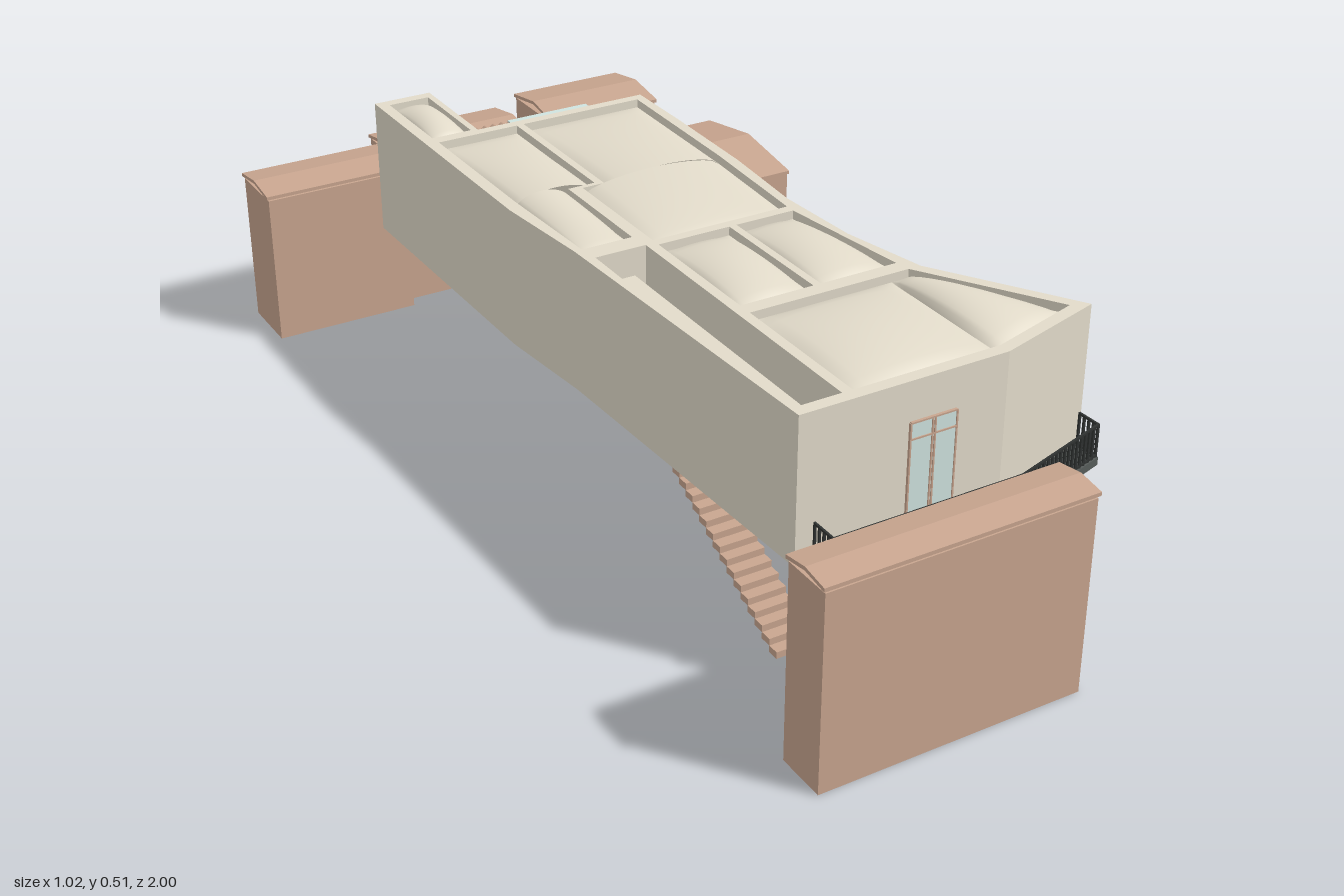
import * as THREE from 'three';

const mat = (name, color, side = THREE.FrontSide) => {
  const m = new THREE.MeshStandardMaterial({ color, side });
  m.name = name;
  return m;
};

export function createModel() {
  const plaster = mat('plaster', 0xe2dbca, THREE.DoubleSide);
  const terracotta = mat('terracotta', 0xc8a58f, THREE.DoubleSide);
  const slabGrey = mat('slabGrey', 0x565b59);
  const railBlack = mat('railBlack', 0x2f3231);
  const glass = mat('glass', 0xcfe3df);
  const model = new THREE.Group();

  const add = (name, geo, material, parent = model) => {
    const mesh = new THREE.Mesh(geo, material);
    mesh.name = name;
    parent.add(mesh);
    return mesh;
  };
  // Box given by its limits on each axis
  const box = (name, x0, x1, y0, y1, z0, z1, material, parent) =>
    add(name, new THREE.BoxGeometry(x1 - x0, y1 - y0, z1 - z0), material, parent)
      .position.set((x0 + x1) / 2, (y0 + y1) / 2, (z0 + z1) / 2);
  // Plan points [x, z] raised into a prism; holes run the opposite way round
  const plan = (pts) => pts.map(([x, z]) => new THREE.Vector2(x, -z));
  const prism = (name, pts, y0, y1, material, holes = []) => {
    const shape = new THREE.Shape(plan(pts));
    holes.forEach((h) => shape.holes.push(new THREE.Path(plan(h).reverse())));
    const geo = new THREE.ExtrudeGeometry(shape, { depth: y1 - y0, bevelEnabled: false });
    geo.rotateX(-Math.PI / 2).translate(0, y0, 0);
    return add(name, geo, material);
  };

  // Raised building: thick walls with rooms cut out
  const outline = [[-0.285, -0.727], [-0.165, -0.727], [-0.165, -0.5], [0.2, -0.5], [0.2, -0.35],
    [0.195, -0.115], [0.18, 0.08], [0.19, 0.26], [0.225, 0.43], [0.384, 0.69], [0.165, 0.752],
    [-0.235, 0.752], [-0.26, 0.08], [-0.28, -0.13]];
  const rooms = [
    [[-0.262, -0.705], [-0.178, -0.705], [-0.178, -0.505], [-0.26, -0.505]],
    [[-0.258, -0.48], [-0.09, -0.48], [-0.09, -0.16], [-0.145, -0.16], [-0.145, 0.08], [-0.245, 0.08], [-0.255, -0.16]],
    [[-0.075, -0.48], [0.182, -0.48], [0.175, -0.15], [0.16, 0.11], [-0.12, 0.11], [-0.12, -0.15], [-0.075, -0.15]],
    [[-0.12, 0.13], [0.025, 0.13], [0.025, 0.4], [-0.12, 0.4]],
    [[0.04, 0.13], [0.16, 0.13], [0.195, 0.4], [0.04, 0.4]],
    [[-0.12, 0.43], [0.2, 0.43], [0.35, 0.675], [0.165, 0.728], [-0.12, 0.728]],
  ];
  const stairwell = [[-0.24, 0.12], [-0.14, 0.12], [-0.14, 0.728], [-0.215, 0.728], [-0.215, 0.215], [-0.24, 0.215]];
  prism('walls', outline, 0.23, 0.505, plaster, [...rooms, stairwell]);
  rooms.forEach((r) => prism('roomFloor', r, 0.232, 0.242, terracotta));

  // Pillow-shaped roof vaults over quads a, b, c, d; v0 and v1 set where the long profile starts and ends
  const vault = (a, b, c, d, v0 = 0, v1 = 1) => {
    const n = 16;
    const geo = new THREE.PlaneGeometry(1, 1, n, n);
    const p = geo.attributes.position;
    const arc = (t) => Math.sqrt(Math.max(0, Math.sin(Math.PI * t)));
    for (let i = 0; i < p.count; i++) {
      const u = p.getX(i) + 0.5, v = 0.5 - p.getY(i);
      const at = (k) => (1 - v) * ((1 - u) * a[k] + u * b[k]) + v * ((1 - u) * d[k] + u * c[k]);
      p.setXYZ(i, at(0), 0.488 + 0.026 * arc(u) * arc(v0 + (v1 - v0) * v), at(1));
    }
    geo.computeVertexNormals();
    add('roofVault', geo, plaster);
  };
  const [rA, rB, rC, rD, rE] = rooms;
  vault(...rA);
  vault(rB[0], rB[1], rB[2], rB[6], 0, 0.5);
  vault(rB[6], rB[3], rB[4], rB[5], 0.5, 1);
  vault(rC[0], rC[1], rC[2], rC[6], 0, 0.5);
  vault(rC[5], rC[2], rC[3], rC[4], 0.5, 1);
  vault(...rD);
  vault(...rE);
  vault([-0.12, 0.43], [0.165, 0.43], [0.165, 0.728], [-0.12, 0.728]);
  vault([0.165, 0.43], [0.2, 0.43], [0.35, 0.675], [0.165, 0.728]);

  // Landing and open flight of steps to the ground
  box('stairLanding', -0.24, -0.14, 0.23, 0.242, 0.13, 0.25, terracotta);
  const steps = 18;
  for (let i = 0; i < steps; i++) {
    const z = 0.272 + i * 0.0225, y = 0.22 * (1 - i / (steps - 1));
    box('stairTread', -0.215, -0.14, y, y + 0.013, z, z + 0.0235, terracotta);
  }

  // Railing along plan points
  const railing = (name, pts, y0, y1, spacing) => {
    const group = new THREE.Group();
    group.name = name;
    model.add(group);
    for (let i = 0; i + 1 < pts.length; i++) {
      const [ax, az] = pts[i], [bx, bz] = pts[i + 1];
      const len = Math.hypot(bx - ax, bz - az), count = Math.max(1, Math.round(len / spacing));
      for (const y of [y0 + 0.004, y1 - 0.002]) {
        const rail = add('rail', new THREE.BoxGeometry(len, 0.004, 0.004), railBlack, group);
        rail.position.set((ax + bx) / 2, y, (az + bz) / 2);
        rail.rotation.y = -Math.atan2(bz - az, bx - ax);
      }
      for (let k = 0; k <= count; k++) {
        const t = k / count;
        add('baluster', new THREE.BoxGeometry(0.004, y1 - y0, 0.004), railBlack, group)
          .position.set(ax + (bx - ax) * t, (y0 + y1) / 2, az + (bz - az) * t);
      }
    }
  };

  // Front balcony
  prism('balconySlab', [[-0.205, 0.752], [0.165, 0.752], [0.376, 0.692], [0.379, 0.748], [0.165, 0.812], [-0.205, 0.812]],
    0.226, 0.241, slabGrey);
  railing('balconyRailing', [[-0.202, 0.757], [-0.202, 0.808], [0.165, 0.808], [0.375, 0.745], [0.373, 0.7]], 0.241, 0.306, 0.0125);

  // Front door: two glazed leaves with thin frames
  box('doorGlass', -0.025, 0.065, 0.242, 0.43, 0.752, 0.755, glass);
  for (const x of [-0.025, 0.0175, 0.0225, 0.065])
    box('doorFrame', x - 0.0015, x + 0.0015, 0.242, 0.43, 0.752, 0.757, terracotta);
  for (const y of [0.4, 0.43]) box('doorRail', -0.025, 0.065, y - 0.0015, y + 0.0015, 0.752, 0.757, terracotta);

  // Small rear window
  box('rearWindowFrame', -0.215, -0.18, 0.36, 0.412, -0.728, -0.727, slabGrey);
  box('rearWindowGlass', -0.211, -0.184, 0.365, 0.407, -0.729, -0.728, glass);

  // Rear terrace with glazed room
  box('terraceSlab', -0.165, 0.2, 0.23, 0.245, -0.727, -0.5, plaster);
  railing('terraceRailing', [[-0.16, -0.72], [0.194, -0.72], [0.194, -0.505]], 0.245, 0.306, 0.018);
  box('glassRoom', -0.15, 0.18, 0.245, 0.408, -0.705, -0.5, glass);
  box('glassRoof', 0, 0.184, 0.408, 0.416, -0.709, -0.505, glass);
  // Rolled tiles over the other half of the glazed room
  const tiles = new THREE.PlaneGeometry(0.155, 0.204, 64, 1);
  tiles.rotateX(-Math.PI / 2).translate(-0.0775, 0.413, -0.607);
  const tp = tiles.attributes.position;
  for (let i = 0; i < tp.count; i++) tp.setY(i, 0.413 + 0.003 * Math.sin(tp.getX(i) * 2 * Math.PI * 8 / 0.155));
  tiles.computeVertexNormals();
  add('tiledRoof', tiles, terracotta);
  for (const y of [0.335, 0.395, 0.407])
    box('glassRoomRail', -0.152, 0.182, y - 0.0025, y + 0.0025, -0.707, -0.5, terracotta);
  for (let i = 0; i <= 6; i++) {
    const x = -0.15 + i * 0.055;
    box('rearMullion', x - 0.002, x + 0.002, 0.245, 0.408, -0.707, -0.703, terracotta);
  }
  for (const z of [-0.655, -0.6, -0.55, -0.505])
    box('sideMullion', 0.178, 0.182, 0.245, 0.408, z - 0.002, z + 0.002, terracotta);

  // Neighbouring houses: plain block under a thin folded roof
  const house = (x0, x1, z0, z1, wallTop, eave, ridge) => {
    const g = new THREE.Group();
    g.name = 'neighbourHouse';
    model.add(g);
    box('houseBlock', x0 + 0.004, x1 - 0.003, 0, wallTop, z0 + 0.003, z1 - 0.003, terracotta, g);
    const mid = (z0 + z1) / 2, t = 0.007;
    const fold = new THREE.Shape([[-z1, eave], [-mid, ridge - t], [-z0, eave], [-z0, eave + t], [-mid, ridge], [-z1, eave + t]]
      .map(([a, b]) => new THREE.Vector2(a, b)));
    const geo = new THREE.ExtrudeGeometry(fold, { depth: x1 - x0, bevelEnabled: false });
    geo.rotateY(Math.PI / 2).translate(x0, 0, 0);
    add('houseRoof', geo, terracotta, g);
  };
  house(-0.35, 0.159, 0.898, 1.0, 0.366, 0.371, 0.386);
  house(-0.508, -0.198, -0.93, -0.787, 0.315, 0.319, 0.336);
  house(-0.195, 0.11, -1.0, -0.818, 0.312, 0.314, 0.337);
  house(0.143, 0.4, -0.97, -0.782, 0.348, 0.35, 0.372);
  house(0.297, 0.508, -0.733, -0.41, 0.294, 0.295, 0.328);
  return model;
}
